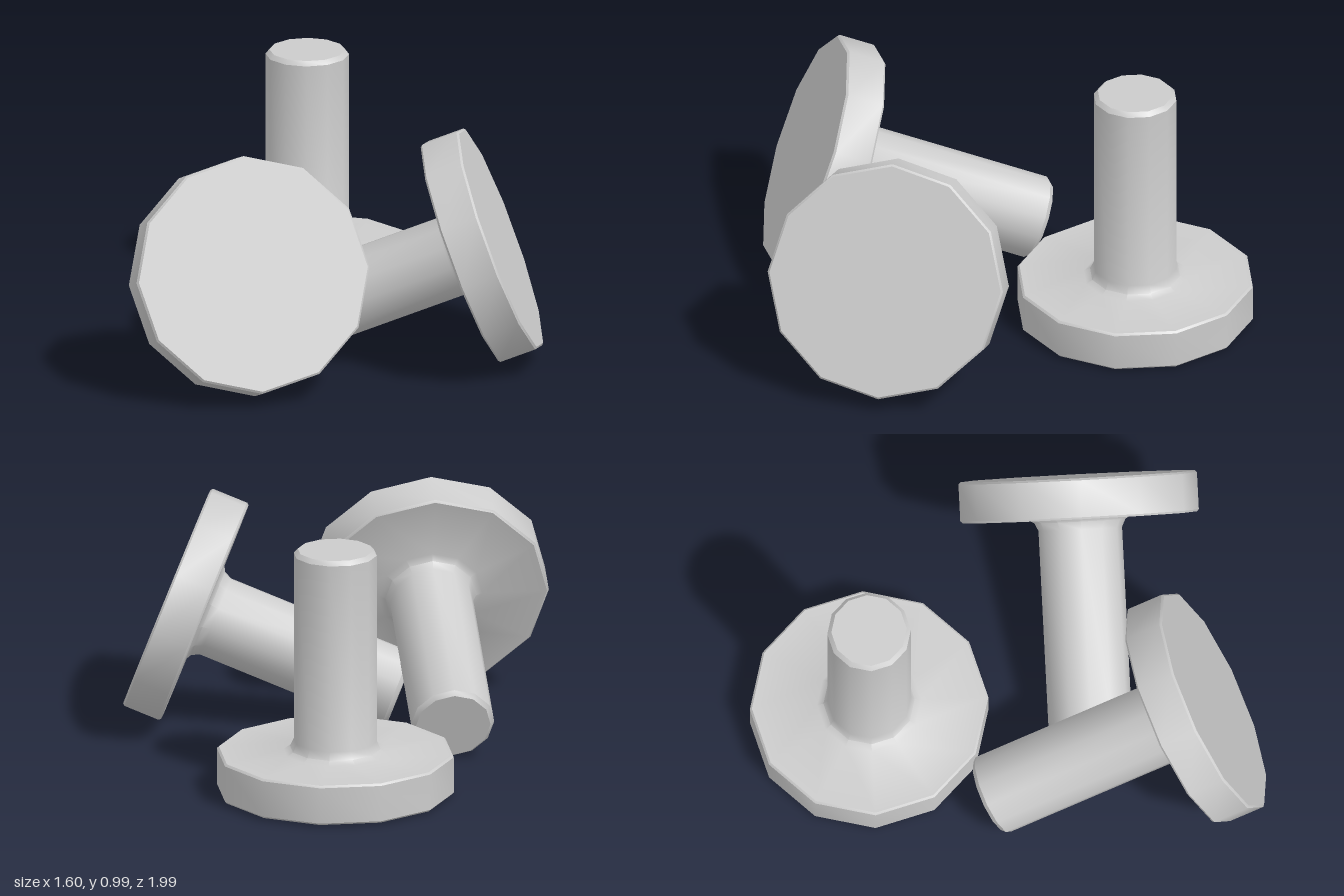
import * as THREE from 'three';
import { toCreasedNormals } from 'three/addons/utils/BufferGeometryUtils.js';

// Headed pin profile: wide disc head at the base, fillet, round shaft with bevelled tip
function pinGeometry() {
  const profile = [
    [0, 0], [0.457, 0], [0.465, 0.008],
    [0.465, 0.152], [0.457, 0.16],
    [0.203, 0.16], [0.178, 0.174], [0.163, 0.205],
    [0.163, 0.963], [0.147, 0.98], [0, 0.98],
  ].map(([r, y]) => new THREE.Vector2(r, y));
  return toCreasedNormals(new THREE.LatheGeometry(profile, 12), 0.7);
}

export function createModel() {
  const group = new THREE.Group();
  group.name = 'pins';
  const geometry = pinGeometry();
  const material = new THREE.MeshStandardMaterial({ color: 0xcccccc });

  // Position is the centre of the head's outer face; tilt, then yaw, in degrees
  const addPin = (name, position, tilt, yaw) => {
    const pin = new THREE.Mesh(geometry, material);
    pin.name = name;
    pin.position.set(...position);
    pin.rotation.order = 'YXZ';
    pin.rotation.set(THREE.MathUtils.degToRad(tilt), THREE.MathUtils.degToRad(yaw), 0);
    group.add(pin);
  };

  // One pin stands on its head, two lie resting on head rim and shaft tip
  addPin('standingPin', [-0.137, 0.01, -0.535], 0, 0);
  addPin('leftLyingPin', [0.635, 0.5, 0.32], -111, 90);
  addPin('frontLyingPin', [-0.32, 0.5, 0.8], -111, 14);
  return group;
}
